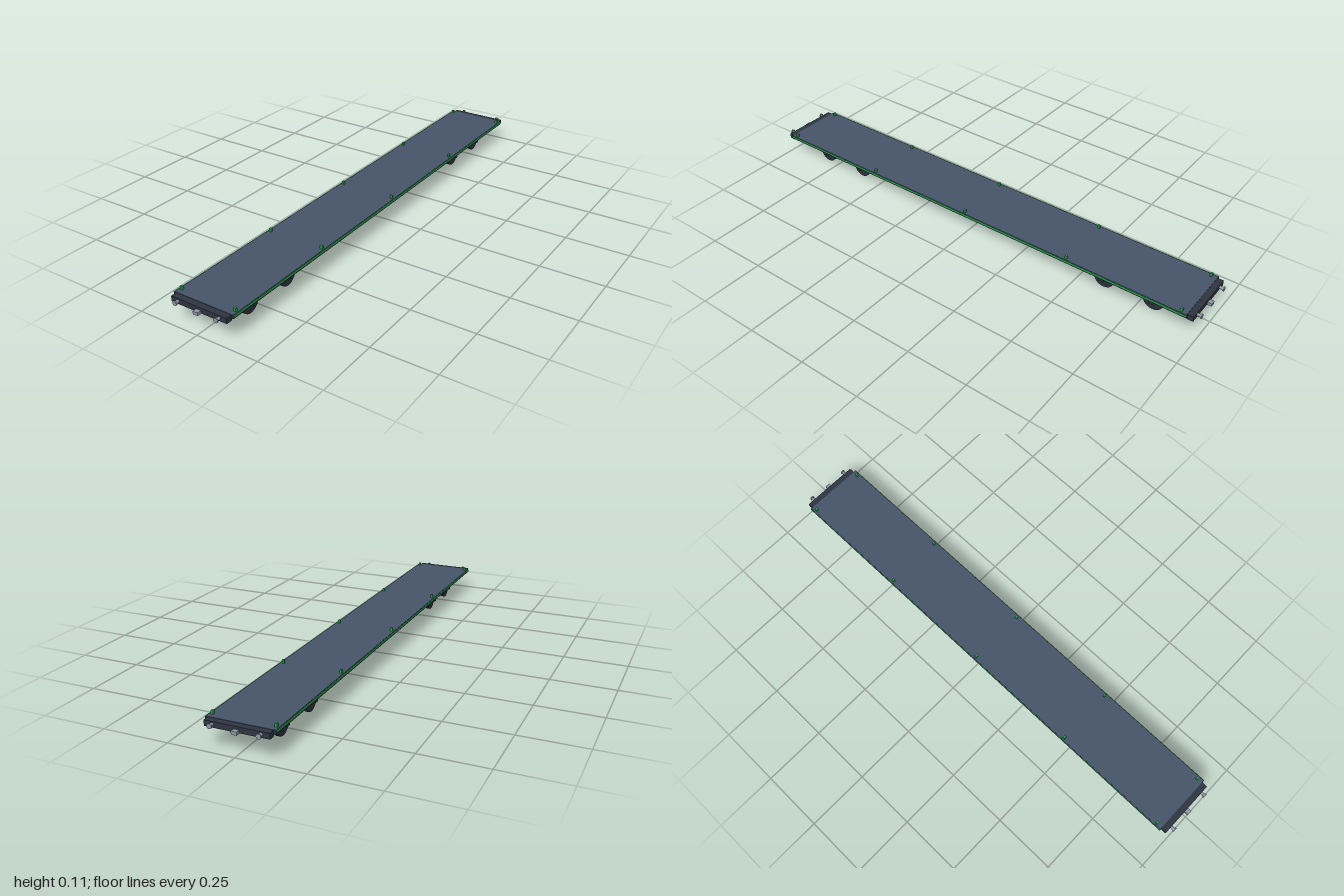
import * as THREE from 'three';

const mat = (name, color) => {
  const m = new THREE.MeshStandardMaterial({ color });
  m.name = name;
  return m;
};

export function createModel() {
  const slate = mat('slate deck', 0x475569);
  const frame = mat('dark frame', 0x2e3541);
  const gear = mat('dark running gear', 0x2b303b);
  const steel = mat('steel', 0x8f98a5);
  const green = mat('green trim', 0x25a94e);

  const wagon = new THREE.Group();
  wagon.name = 'flatWagon';

  const add = (parent, name, geo, m, x = 0, y = 0, z = 0) => {
    const mesh = new THREE.Mesh(geo, m);
    mesh.name = name;
    mesh.position.set(x, y, z);
    parent.add(mesh);
    return mesh;
  };
  // box given by its size and centre
  const box = (parent, name, m, w, h, d, x, y, z) =>
    add(parent, name, new THREE.BoxGeometry(w, h, d), m, x, y, z);
  // cylinder lying along x or z
  const rod = (parent, name, m, r, len, axis, x, y, z, sides = 20) => {
    const geo = new THREE.CylinderGeometry(r, r, len, sides);
    if (axis === 'x') geo.rotateZ(Math.PI / 2);
    else geo.rotateX(Math.PI / 2);
    return add(parent, name, geo, m, x, y, z);
  };

  // deck slab
  box(wagon, 'deck', slate, 0.25, 0.015, 1.916, 0, 0.093, 0);

  // bevelled side sills with a green stripe along the outer face
  const section = new THREE.Shape([
    [0.118, 0.085], [0.121, 0.085], [0.1275, 0.089], [0.1275, 0.099], [0.118, 0.099],
  ].map(([x, y]) => new THREE.Vector2(x, y)));
  const sill = new THREE.ExtrudeGeometry(section, { depth: 1.92, bevelEnabled: false });
  sill.translate(0, 0, -0.96);
  for (const s of [0, 1]) {
    const side = add(wagon, 'sideSill', sill, frame);
    side.rotation.y = s * Math.PI;
    box(wagon, 'sideStripe', green, 0.0015, 0.007, 1.918, (s ? -1 : 1) * 0.1278, 0.0963, 0);
  }

  // centre sill and the brake cylinder crossing it
  box(wagon, 'centreSill', frame, 0.06, 0.026, 1.9, 0, 0.074, 0);
  rod(wagon, 'brakeCylinder', steel, 0.0155, 0.07, 'x', 0, 0.0645, -0.195);

  // stakes along both edges
  for (const x of [-0.1145, 0.1145]) {
    for (const z of [-0.935, -0.47, 0, 0.47, 0.935]) {
      box(wagon, 'stake', green, 0.009, 0.013, 0.009, x, 0.1065, z);
    }
  }

  for (const s of [-1, 1]) {
    // end beam with buffers and coupler
    box(wagon, 'endBeam', frame, 0.236, 0.021, 0.024, 0, 0.0885, s * 0.97);
    for (const x of [-0.0875, 0.0875]) {
      rod(wagon, 'bufferStem', steel, 0.006, 0.016, 'z', x, 0.09, s * 0.988);
      rod(wagon, 'bufferHead', steel, 0.009, 0.005, 'z', x, 0.09, s * 0.9975);
    }
    box(wagon, 'coupler', steel, 0.02, 0.012, 0.017, 0, 0.083, s * 0.99);

    // bogie: side frames, bolster, axle boxes and two wheelsets
    const bogie = new THREE.Group();
    bogie.name = 'bogie';
    bogie.position.z = s * 0.705;
    wagon.add(bogie);
    box(bogie, 'bolster', frame, 0.15, 0.016, 0.05, 0, 0.073, 0);
    for (const x of [-0.075, 0.075]) {
      box(bogie, 'sideFrame', frame, 0.011, 0.016, 0.23, x, 0.07, 0);
    }
    for (const z of [-0.101, 0.101]) {
      rod(bogie, 'axle', steel, 0.005, 0.15, 'x', 0, 0.041, z, 14);
      for (const side of [-1, 1]) {
        box(bogie, 'axleBoxGuide', frame, 0.011, 0.016, 0.022, side * 0.075, 0.056, z);
        box(bogie, 'axleBox', frame, 0.018, 0.012, 0.02, side * 0.076, 0.044, z);
        rod(bogie, 'wheel', gear, 0.041, 0.013, 'x', side * 0.0575, 0.041, z, 28);
      }
    }
  }
  return wagon;
}
